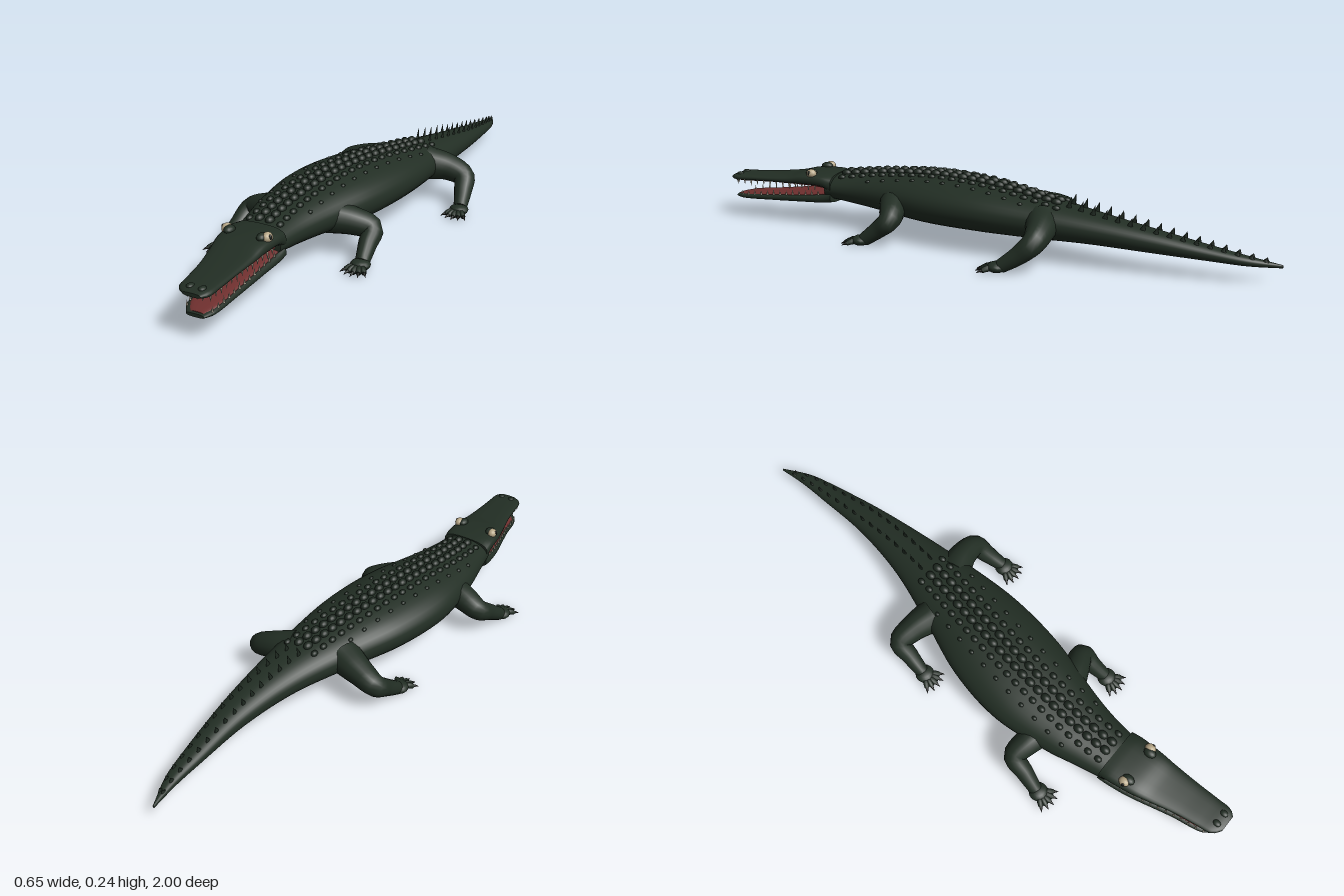
import * as THREE from 'three';
import { mergeGeometries } from 'three/addons/utils/BufferGeometryUtils.js';

const mat = (name, color) => Object.assign(new THREE.MeshStandardMaterial({ color }), { name });

// Cross-sections along the body: [z, centre x, half width, bottom y, top y]
const BODY = [
  [-1, 0.05, 0.003, 0.051, 0.061], [-0.9, 0.072, 0.022, 0.053, 0.083], [-0.8, 0.079, 0.034, 0.058, 0.102],
  [-0.6, 0.085, 0.054, 0.066, 0.14], [-0.4, 0.072, 0.083, 0.07, 0.172], [-0.2, 0.04, 0.125, 0.063, 0.2],
  [0, 0, 0.165, 0.057, 0.221], [0.2, -0.032, 0.168, 0.057, 0.224], [0.4, -0.052, 0.128, 0.072, 0.208],
  [0.5, -0.053, 0.105, 0.082, 0.196], [0.61, -0.048, 0.086, 0.095, 0.182],
];
const UPPER_JAW = [
  [0.585, -0.048, 0.091, 0.115, 0.188], [0.62, -0.046, 0.092, 0.138, 0.191], [0.7, -0.04, 0.086, 0.143, 0.189],
  [0.76, -0.032, 0.077, 0.143, 0.176], [0.85, -0.02, 0.064, 0.143, 0.167], [0.93, -0.012, 0.057, 0.14, 0.163],
  [0.98, -0.007, 0.051, 0.138, 0.161], [1, -0.001, 0.03, 0.143, 0.155],
];
const LOWER_JAW = [
  [0.585, -0.048, 0.09, 0.086, 0.135], [0.62, -0.046, 0.088, 0.081, 0.124], [0.7, -0.04, 0.08, 0.077, 0.114],
  [0.85, -0.02, 0.06, 0.072, 0.1], [0.95, -0.01, 0.049, 0.07, 0.091], [0.985, -0.004, 0.03, 0.074, 0.085],
];

// Smooth lookup of a cross-section at any z
function at(rows, z) {
  const last = rows.length - 1;
  let i = 0;
  while (i < last - 1 && rows[i + 1][0] < z) i++;
  const h = rows[i + 1][0] - rows[i][0];
  const t = Math.min(1, Math.max(0, (z - rows[i][0]) / h));
  const slope = (k, c) => {
    const a = rows[Math.max(0, k - 1)], b = rows[Math.min(last, k + 1)];
    return (b[c] - a[c]) / (b[0] - a[0]);
  };
  return rows[0].map((_, c) => c === 0 ? z :
    (2 * t ** 3 - 3 * t * t + 1) * rows[i][c] + (t ** 3 - 2 * t * t + t) * h * slope(i, c) +
    (3 * t * t - 2 * t ** 3) * rows[i + 1][c] + (t ** 3 - t * t) * h * slope(i + 1, c));
}

// Closed skin over equal-sized rings of points
function skin(rings) {
  const n = rings[0].length, m = rings.length, pos = [], idx = [];
  rings.forEach(r => r.forEach(p => pos.push(p.x, p.y, p.z)));
  for (let i = 0; i < m - 1; i++) for (let j = 0; j < n; j++) {
    const a = i * n + j, b = i * n + (j + 1) % n;
    idx.push(a, b, a + n, b, b + n, a + n);
  }
  // End caps have their own vertices so the rims stay crisp
  [[rings[0], true], [rings[m - 1], false]].forEach(([ring, flip]) => {
    const base = pos.length / 3;
    const c = ring.reduce((s, p) => s.add(p), new THREE.Vector3()).divideScalar(n);
    [c, ...ring].forEach(p => pos.push(p.x, p.y, p.z));
    for (let j = 0; j < n; j++) {
      const a = base + 1 + j, b = base + 1 + (j + 1) % n;
      idx.push(base, flip ? b : a, flip ? a : b);
    }
  });
  const g = new THREE.BufferGeometry();
  g.setAttribute('position', new THREE.Float32BufferAttribute(pos, 3));
  g.setIndex(idx);
  g.computeVertexNormals();
  return g;
}

// Loft along z; power 2 is an ellipse, higher is boxier
function loft(rows, steps, sides, power) {
  const z0 = rows[0][0], z1 = rows[rows.length - 1][0];
  const bend = v => Math.sign(v) * Math.abs(v) ** (2 / power);
  return skin(Array.from({ length: steps + 1 }, (_, i) => {
    const [z, cx, hw, yb, yt] = at(rows, z0 + (z1 - z0) * i / steps);
    return Array.from({ length: sides }, (_, j) => {
      const a = j / sides * Math.PI * 2;
      return new THREE.Vector3(cx + hw * bend(Math.cos(a)), (yb + yt) / 2 + (yt - yb) / 2 * bend(Math.sin(a)), z);
    });
  }));
}

// Round limb through points [x, y, z, radius]
function limb(points, steps = 20, sides = 16) {
  const curve = new THREE.CatmullRomCurve3(points.map(p => new THREE.Vector3(p[0], p[1], p[2])));
  const frames = curve.computeFrenetFrames(steps);
  return skin(Array.from({ length: steps + 1 }, (_, i) => {
    const t = curve.getUtoTmapping(i / steps), f = t * (points.length - 1);
    const k = Math.min(points.length - 2, Math.floor(f));
    const r = THREE.MathUtils.lerp(points[k][3], points[k + 1][3], f - k), c = curve.getPoint(t);
    return Array.from({ length: sides }, (_, j) => {
      const a = j / sides * Math.PI * 2;
      return c.clone().addScaledVector(frames.normals[i], r * Math.cos(a)).addScaledVector(frames.binormals[i], r * Math.sin(a));
    });
  }));
}

const ball = (x, y, z, sx, sy = sx, sz = sx) => new THREE.SphereGeometry(1, 14, 10).scale(sx, sy, sz).translate(x, y, z);

export function createModel() {
  const model = new THREE.Group();
  model.name = 'crocodile';
  const hide = mat('dark green hide', 0x222e24), scuteMat = mat('darker scutes', 0x1d271f);
  const flesh = mat('mouth red', 0x70302f), ivory = mat('tooth ivory', 0xd0c6b0);
  const eyeMat = mat('eye cream', 0xb8a888), black = mat('claw black', 0x161814);
  const add = (name, geometry, material, parent = model) => {
    const m = new THREE.Mesh(geometry, material);
    m.name = name;
    parent.add(m);
  };

  // Body, tail and jaws
  add('bodyAndTail', loft(BODY, 80, 36, 2.15), hide);
  add('upperJaw', loft(UPPER_JAW, 32, 28, 2.8), hide);
  add('lowerJaw', loft(LOWER_JAW, 28, 28, 2.8), hide);

  // Mouth lining
  const inner = LOWER_JAW.slice(1).map(([z, cx, hw, , yt]) => [z - 0.008, cx, hw * 0.86, yt - 0.012, yt + 0.003]);
  const palate = UPPER_JAW.slice(1).map(([z, cx, hw, yb]) => [z - 0.02, cx, hw * 0.8, yb - 0.002, yb + 0.012]);
  add('tongue', loft(inner, 20, 20, 2.8), flesh);
  add('palate', loft(palate, 20, 20, 2.8), flesh);
  add('throat', ball(-0.047, 0.133, 0.605, 0.072, 0.022, 0.012), flesh);

  // Teeth along both jaws
  const teeth = [];
  for (const s of [-1, 1]) for (let i = 0; i < 13; i++) {
    const z = 0.65 + i * 0.0265, h = 0.018 + 0.006 * (i % 3 === 1);
    const u = at(UPPER_JAW, z), zl = z - 0.012, l = at(LOWER_JAW, zl);
    teeth.push(new THREE.ConeGeometry(0.0038, h, 6).rotateX(Math.PI).translate(u[1] + s * u[2] * 0.86, u[3] - h / 2 + 0.004, z));
    teeth.push(new THREE.ConeGeometry(0.0035, h, 6).translate(l[1] + s * l[2] * 0.9, l[4] + h / 2 - 0.005, zl));
  }
  for (const x of [-0.028, -0.01, 0.008, 0.024])
    teeth.push(new THREE.ConeGeometry(0.0035, 0.016, 6).rotateX(Math.PI).translate(x, 0.136, 0.984));
  add('teeth', mergeGeometries(teeth), ivory);

  // Eyes, brows and nostrils
  for (const s of [-1, 1]) {
    const side = s > 0 ? 'left' : 'right', x = -0.042 + s * 0.07;
    add(side + 'Eye', ball(x, 0.19, 0.665, 0.016, 0.016, 0.019), eyeMat);
    add(side + 'Brow', ball(x - s * 0.013, 0.191, 0.672, 0.016, 0.013, 0.022), hide);
    add(side + 'Pupil', ball(x + s * 0.012, 0.193, 0.668, 0.005, 0.009, 0.006), black);
    add(side + 'Nostril', ball(-0.004 + s * 0.02, 0.16, 0.972, 0.011, 0.007, 0.014), hide);
  }

  // Rows of scutes along the back
  const onBack = (z, d) => {
    const [, cx, hw, yb, yt] = at(BODY, z);
    return [cx + d, (yb + yt) / 2 + (yt - yb) / 2 * Math.sqrt(1 - (d / hw) ** 2), z];
  };
  const scutes = [];
  for (const [d, size, step] of [[0.018, 1, 0.036], [0.054, 0.75, 0.04], [0.09, 0.5, 0.06]])
    for (const s of [-1, 1]) for (let z = 0.555; z > -0.3; z -= step) {
      if (d > at(BODY, z)[2] * 0.75) continue;
      const [x, y] = onBack(z, s * d);
      scutes.push(ball(x, y, z, 0.014 * size, 0.014 * size, 0.018 * size));
    }
  add('backScutes', mergeGeometries(scutes), scuteMat);

  // Paired spikes along the tail
  const spikes = [];
  for (const s of [-1, 1]) for (let z = -0.32; z > -0.98; z -= 0.042) {
    const h = THREE.MathUtils.mapLinear(z, -0.32, -0.98, 0.042, 0.012);
    const [x, y] = onBack(z, s * Math.min(0.024, at(BODY, z)[2] * 0.45));
    spikes.push(new THREE.ConeGeometry(0.4, 1, 8).translate(0, 0.38, 0).scale(0.011, h, 0.026)
      .rotateX(-0.25).translate(x, y, z));
  }
  add('tailSpikes', mergeGeometries(spikes), scuteMat);

  // Legs from body to ankle, each with a clawed foot
  const legs = {
    frontRightLeg: [[-0.1, 0.13, 0.36, 0.055], [-0.195, 0.117, 0.335, 0.045], [-0.25, 0.096, 0.33, 0.037], [-0.264, 0.06, 0.385, 0.03], [-0.278, 0.022, 0.445, 0.023]],
    frontLeftLeg: [[0.03, 0.13, 0.33, 0.055], [0.115, 0.117, 0.3, 0.045], [0.17, 0.096, 0.285, 0.037], [0.176, 0.06, 0.325, 0.03], [0.184, 0.022, 0.375, 0.023]],
    hindRightLeg: [[-0.05, 0.13, -0.19, 0.06], [-0.13, 0.117, -0.215, 0.046], [-0.19, 0.096, -0.222, 0.037], [-0.198, 0.06, -0.175, 0.03], [-0.206, 0.022, -0.115, 0.023]],
    hindLeftLeg: [[0.11, 0.13, -0.24, 0.06], [0.19, 0.12, -0.258, 0.046], [0.248, 0.097, -0.255, 0.038], [0.264, 0.06, -0.215, 0.031], [0.279, 0.022, -0.16, 0.023]],
  };
  for (const [name, points] of Object.entries(legs)) {
    const leg = new THREE.Group();
    leg.name = name;
    add('limb', limb(points), hide, leg);
    const [x, , z] = points[points.length - 1], toes = [], claws = [];
    toes.push(ball(x, 0.019, z + 0.012, 0.033, 0.018, 0.032));
    for (let i = -2; i <= 2; i++) {
      const a = i * 0.36, dir = new THREE.Vector3(Math.sin(a), 0, Math.cos(a));
      const p = (r, y, rad) => [x + dir.x * r, y, z + 0.012 + dir.z * r, rad];
      toes.push(limb([p(0.012, 0.017, 0.011), p(0.035, 0.016, 0.0105), p(0.05, 0.011, 0.008)], 6, 10));
      claws.push(limb([p(0.047, 0.012, 0.0065), p(0.057, 0.011, 0.004), p(0.068, 0.006, 0.0006)], 4, 8));
    }
    const palm = toes.shift();
    add('palm', palm, hide, leg);
    add('toes', mergeGeometries(toes), hide, leg);
    add('claws', mergeGeometries(claws), black, leg);
    model.add(leg);
  }
  return model;
}
